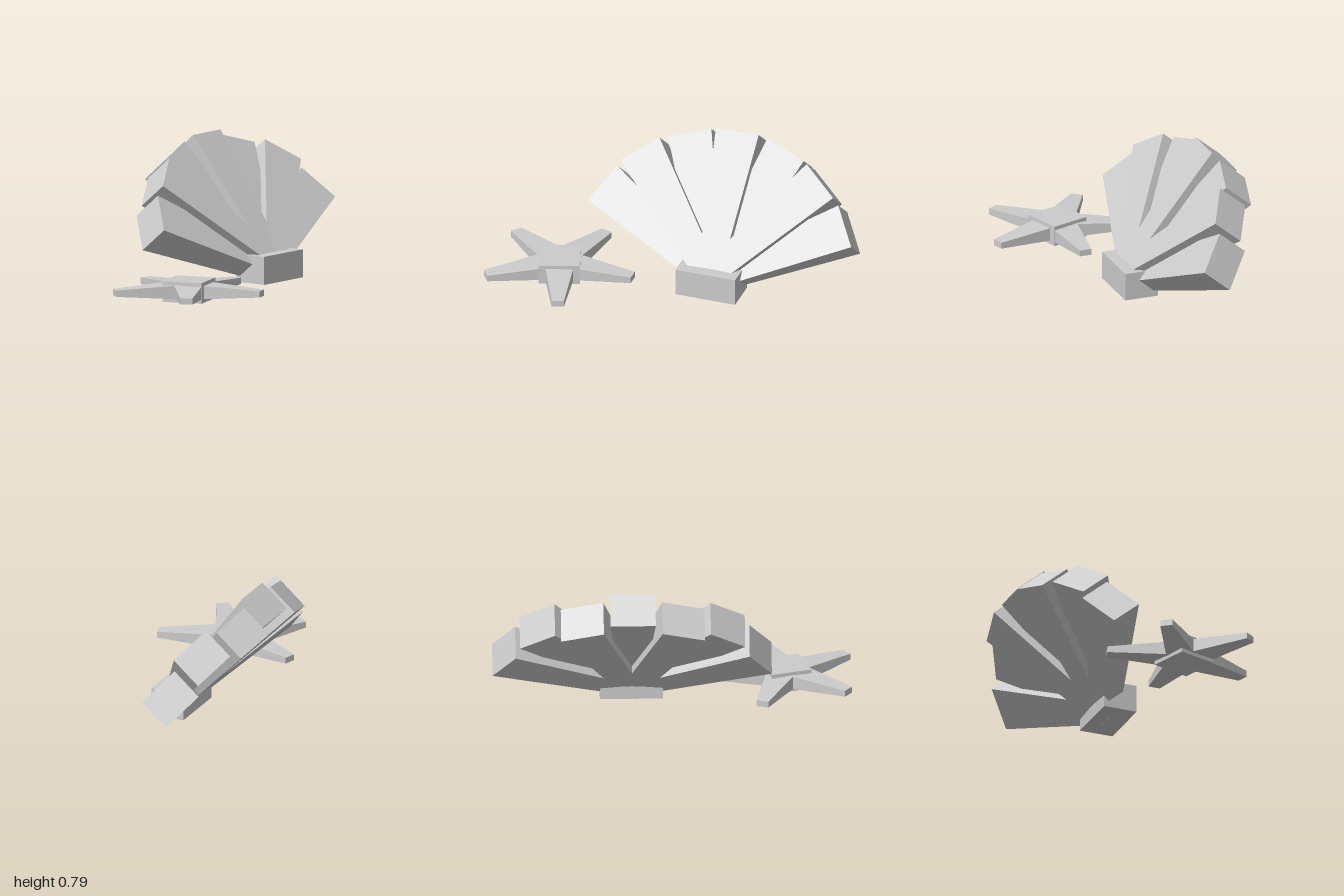
import * as THREE from 'three';

const rad = THREE.MathUtils.degToRad;

// Bar growing from the origin along +y, tapering from a base (x, z) to a tip (x, z)
function taperedBar(length, base, tip) {
  const g = new THREE.BoxGeometry(1, length, 1).translate(0, length / 2, 0);
  const p = g.attributes.position;
  for (let i = 0; i < p.count; i++) {
    const [sx, sz] = p.getY(i) > length / 2 ? tip : base;
    p.setX(i, p.getX(i) * sx);
    p.setZ(i, p.getZ(i) * sz);
  }
  g.computeVertexNormals();
  return g;
}

function add(parent, name, geometry, material) {
  const mesh = new THREE.Mesh(geometry, material);
  mesh.name = name;
  parent.add(mesh);
  return mesh;
}

export function createModel() {
  const model = new THREE.Group();
  model.name = 'shellAndStarfish';
  const grey = new THREE.MeshStandardMaterial({ color: 0xcccccc, flatShading: true });
  grey.name = 'paleGrey';

  // Fan shell: hinge block and seven ribs, leaning back
  const shell = new THREE.Group();
  shell.name = 'shell';
  shell.position.z = -0.225;
  model.add(shell);
  add(shell, 'shellHinge', new THREE.BoxGeometry(0.195, 0.157, 0.35), grey)
    .position.set(0.048, 0.0915, 0);

  const fan = new THREE.Group();
  fan.name = 'shellFan';
  fan.rotation.z = rad(40);
  shell.add(fan);
  const rib = taperedBar(0.82, [0.094, 0.132], [0.195, 0.25]);
  for (let i = -3; i <= 3; i++) {
    const mesh = add(fan, 'shellRib', rib, grey);
    // Every other rib stands proud of its neighbours
    mesh.position.set(i % 2 === 0 ? 0.116 : 0.07, 0.04, 0);
    mesh.rotation.x = rad(i * 20);
  }

  // Starfish: square body and five tapering arms
  const star = new THREE.Group();
  star.name = 'starfish';
  star.position.set(0.145, 0.0705, 0.628);
  model.add(star);
  add(star, 'starfishBody', new THREE.BoxGeometry(0.23, 0.115, 0.23), grey).rotation.y = rad(18);

  const arm = taperedBar(0.428, [0.184, 0.088], [0.068, 0.035]).rotateX(-Math.PI / 2);
  for (let i = 0; i < 5; i++) {
    add(star, 'starfishArm', arm, grey).rotation.y = rad(i * 72);
  }
  return model;
}
